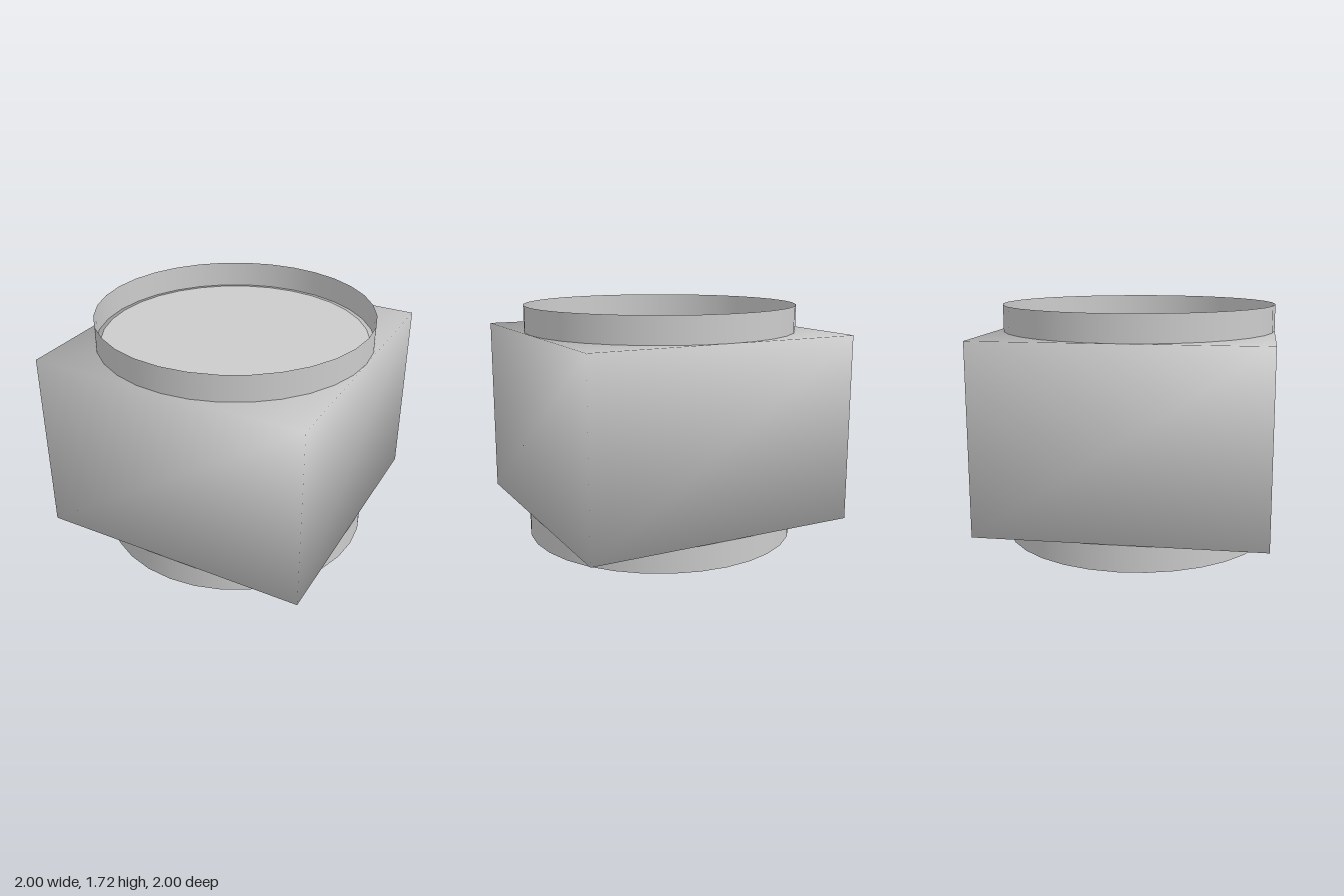
import * as THREE from 'three';
import { mergeVertices } from 'three/addons/utils/BufferGeometryUtils.js';

const BASE = 0.19, TOP = 1.525, HEIGHT = 1.715, SIDES = 32;

export function createModel() {
  const model = new THREE.Group();
  model.name = 'model';
  const solid = new THREE.MeshStandardMaterial({ color: 0xcccccc });
  const thin = new THREE.MeshStandardMaterial({ color: 0xcccccc, side: THREE.DoubleSide });

  function add(parent, name, geometry, material, y) {
    const mesh = new THREE.Mesh(geometry, material);
    mesh.name = name;
    mesh.position.y = y;
    parent.add(mesh);
    return mesh;
  }

  // Body: a box whose eight corners share their normals, so it shades softly
  let box = new THREE.BoxGeometry(2, TOP - BASE, 2);
  box.deleteAttribute('normal');
  box.deleteAttribute('uv');
  box = mergeVertices(box);
  const p = box.attributes.position;
  const normals = new Float32Array(p.count * 3);
  for (let i = 0; i < p.count; i++) {
    new THREE.Vector3(Math.sign(p.getX(i)), Math.sign(p.getY(i)), Math.sign(p.getZ(i)))
      .normalize().toArray(normals, i * 3);
  }
  box.setAttribute('normal', new THREE.BufferAttribute(normals, 3));
  add(model, 'body', box, solid, (BASE + TOP) / 2);

  // Round collars above and below: a thin wall with a flat disc at its lower end
  function collar(name, y0, y1, discRadius, discY, facing) {
    const group = new THREE.Group();
    group.name = name;
    const wall = new THREE.CylinderGeometry(1, 1, y1 - y0, SIDES, 1, true);
    add(group, name + 'Wall', wall, thin, (y0 + y1) / 2);
    const disc = new THREE.CircleGeometry(discRadius, SIDES).rotateX(-facing * Math.PI / 2);
    add(group, name + 'Disc', disc, thin, discY);
    model.add(group);
  }
  collar('topCollar', TOP, HEIGHT, 0.965, TOP + 0.003, 1);
  collar('bottomCollar', 0, BASE, 1, 0, -1);

  return model;
}
